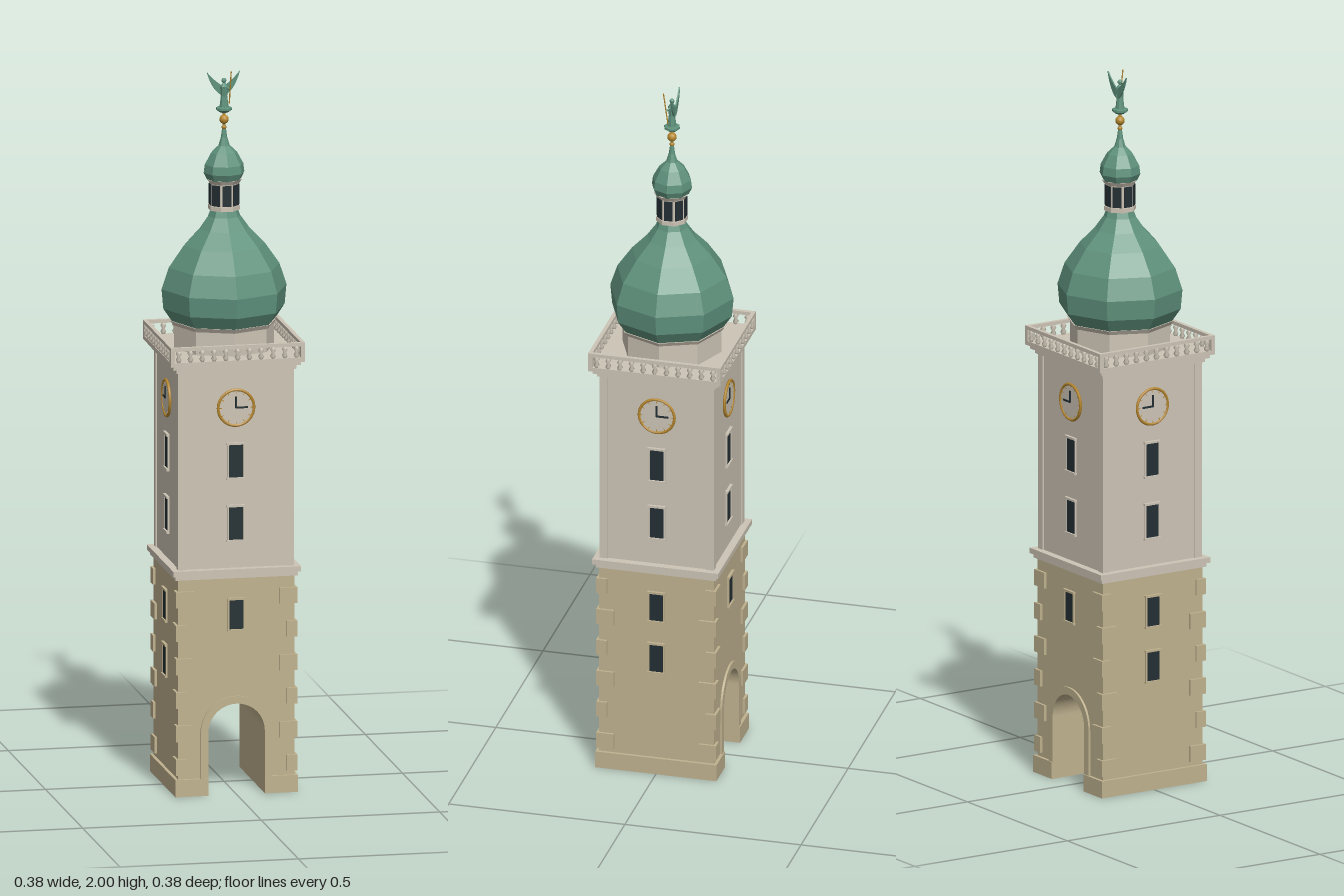
import * as THREE from 'three';

const mat = (name, color, extra = {}) => {
  const m = new THREE.MeshStandardMaterial({ color, ...extra });
  m.name = name;
  return m;
};

export function createModel() {
  const tower = new THREE.Group();
  tower.name = 'clockTower';
  const stone = mat('sandstone', 0xc0b28f);
  const plaster = mat('plaster', 0xcdc4b5);
  const copper = mat('copperGreen', 0x5f927d, { flatShading: true });
  const dark = mat('darkGlass', 0x232e33);
  const gold = mat('gold', 0xb8892f);

  const add = (name, geo, material, x = 0, y = 0, z = 0, parent = tower) => {
    const m = new THREE.Mesh(geo, material);
    m.name = name;
    m.position.set(x, y, z);
    parent.add(m);
    return m;
  };
  // box given by its size and its bottom height
  const box = (name, w, h, d, material, x, y, z, parent) =>
    add(name, new THREE.BoxGeometry(w, h, d), material, x, y + h / 2, z, parent);
  const lathe = (pts, n) => new THREE.LatheGeometry(pts.map(p => new THREE.Vector2(...p)), n);
  const group = (name, turn = 0) => {
    const g = new THREE.Group();
    g.name = name;
    g.rotation.y = turn;
    tower.add(g);
    return g;
  };
  const extrude = (shape, depth) =>
    new THREE.ExtrudeGeometry(shape, { depth, bevelEnabled: false, curveSegments: 20 });

  // lower stage with a vaulted passage from front to back
  const B = 0.163, A = 0.079, S = 0.176;
  const body = new THREE.Shape();
  body.moveTo(-B, 0).lineTo(-A, 0).lineTo(-A, S);
  body.absarc(0, S, A, Math.PI, 0, true);
  body.lineTo(A, 0).lineTo(B, 0).lineTo(B, 0.615).lineTo(-B, 0.615);
  add('lowerStage', extrude(body, 2 * B), stone, 0, 0, -B);
  for (const s of [-1, 1]) box('plinth', 0.172 - A, 0.048, 0.344, stone, s * (A + 0.172) / 2, 0, 0);

  // arch surrounds
  const R = A + 0.021;
  const arch = new THREE.Shape();
  arch.moveTo(-R, 0.048).lineTo(-R, S);
  arch.absarc(0, S, R, Math.PI, 0, true);
  arch.lineTo(R, 0.048).lineTo(A, 0.048).lineTo(A, S);
  arch.absarc(0, S, A, 0, Math.PI, false);
  arch.lineTo(-A, 0.048);
  for (const z of [B, -B - 0.006]) add('archSurround', extrude(arch, 0.006), stone, 0, 0, z);

  // corner quoins, long side alternating between the faces
  for (const sx of [-1, 1]) for (const sz of [-1, 1]) for (let i = 0; i < 6; i++) {
    const w = i % 2 ? 0.05 : 0.03, d = i % 2 ? 0.03 : 0.05, o = 0.17;
    box('quoin', w, 0.045, d, stone, sx * (o - w / 2), 0.06 + i * 0.094, sz * (o - d / 2));
  }

  // string course, upper stage and corner strips
  box('stringCourseLower', 0.342, 0.012, 0.342, plaster, 0, 0.608, 0);
  box('stringCourse', 0.358, 0.015, 0.358, plaster, 0, 0.62, 0);
  box('upperStage', 0.316, 0.56, 0.316, plaster, 0, 0.633, 0);
  for (const x of [-1, 1]) for (const z of [-1, 1])
    box('cornerStrip', 0.022, 0.56, 0.022, plaster, x * 0.151, 0.633, z * 0.151);
  box('corniceLower', 0.336, 0.014, 0.336, plaster, 0, 1.188, 0);
  box('cornice', 0.356, 0.012, 0.356, plaster, 0, 1.2, 0);
  box('galleryFloor', 0.376, 0.012, 0.376, plaster, 0, 1.211, 0);

  // windows, clock and balustrade on each of the four sides
  const balusterGeo = lathe([[0.004, 0], [0.0085, 0.008], [0.004, 0.017], [0.0085, 0.025], [0.004, 0.033]], 6);
  for (let k = 0; k < 4; k++) {
    const side = group('side' + k, k * Math.PI / 2);
    const windowAt = (y, z, h, m) => {
      box('windowPane', 0.04, h, 0.006, dark, 0, y - h / 2, z, side);
      for (const s of [-1, 1]) box('windowJamb', 0.004, h, 0.01, m, s * 0.022, y - h / 2, z, side);
      box('windowLintel', 0.052, 0.006, 0.016, m, 0, y + h / 2, z, side);
      box('windowSill', 0.052, 0.006, 0.016, m, 0, y - h / 2 - 0.006, z, side);
    };
    windowAt(0.935, 0.158, 0.092, plaster);
    windowAt(0.76, 0.158, 0.092, plaster);
    windowAt(0.505, B, 0.082, stone);
    if (k % 2) windowAt(0.35, B, 0.082, stone);

    // clock; the hands on the far sides point the other way
    const flip = k < 2 ? 1 : -1;
    const face = add('clockFace', new THREE.CylinderGeometry(0.05, 0.05, 0.006, 32), plaster, 0, 1.085, 0.16, side);
    face.rotation.x = Math.PI / 2;
    add('clockRing', new THREE.TorusGeometry(0.05, 0.0042, 6, 36), gold, 0, 1.085, 0.162, side);
    box('minuteHand', 0.005, 0.033, 0.003, dark, 0, 1.084, 0.164, side);
    box('hourHand', 0.034, 0.005, 0.003, dark, flip * 0.016, 1.083, 0.164, side);
    for (let i = 0; i < 12; i++) {
      const a = i * Math.PI / 6;
      const t = add('hourMark', new THREE.BoxGeometry(0.002, 0.006, 0.002), gold,
        Math.sin(a) * 0.043, 1.085 + Math.cos(a) * 0.043, 0.163, side);
      t.rotation.z = -a;
    }

    // balustrade
    box('handrail', 0.376, 0.01, 0.011, plaster, 0, 1.255, 0.1825, side);
    for (let i = 0; i < 11; i++)
      add('baluster', balusterGeo, plaster, -0.165 + i * 0.033, 1.222, 0.1825, side);
    box('cornerPost', 0.012, 0.033, 0.012, plaster, 0.182, 1.222, 0.182, side);
  }

  // octagonal drum and onion dome
  const flatPlaster = plaster;
  const prism = (name, r0, r1, h, y, m = flatPlaster, turn = 0) => {
    const g = new THREE.CylinderGeometry(r1, r0, h, 8).toNonIndexed();
    g.computeVertexNormals();
    const p = add(name, g, m, 0, y + h / 2, 0);
    p.rotation.y = turn;
  };
  prism('drum', 0.14, 0.14, 0.075, 1.22);
  prism('drumCornice', 0.142, 0.15, 0.012, 1.288);
  add('onionDome', lathe([[0, 1.298], [0.145, 1.298], [0.17, 1.335], [0.175, 1.39], [0.155, 1.45],
    [0.113, 1.51], [0.07, 1.555], [0.045, 1.59], [0.036, 1.615], [0, 1.615]], 8), copper);

  // lantern with eight openings
  prism('lanternBase', 0.044, 0.044, 0.012, 1.608, flatPlaster, Math.PI / 8);
  prism('lantern', 0.041, 0.041, 0.075, 1.615, flatPlaster, Math.PI / 8);
  for (let i = 0; i < 8; i++)
    box('lanternOpening', 0.024, 0.058, 0.006, dark, 0, 1.622, 0.0375, group('lanternSide' + i, i * Math.PI / 4));
  prism('lanternCornice', 0.042, 0.05, 0.012, 1.682, flatPlaster, Math.PI / 8);
  add('lanternDome', lathe([[0, 1.693], [0.048, 1.693], [0.057, 1.712], [0.054, 1.735], [0.036, 1.768],
    [0.016, 1.787], [0.009, 1.81], [0.004, 1.845], [0, 1.845]], 8), copper);

  // gilded finial
  add('finialRod', new THREE.CylinderGeometry(0.004, 0.004, 0.06, 8), gold, 0, 1.855, 0);
  add('finialBall', new THREE.SphereGeometry(0.013, 12, 8), gold, 0, 1.86, 0);
  add('finialKnob', new THREE.SphereGeometry(0.007, 10, 6), gold, 0, 1.838, 0);

  // winged statue
  add('statueBase', lathe([[0, 1.88], [0.012, 1.88], [0.022, 1.887], [0.022, 1.893], [0, 1.897]], 10), copper);
  add('statueBody', lathe([[0, 1.893], [0.013, 1.893], [0.009, 1.925], [0.011, 1.952], [0.004, 1.962], [0, 1.963]], 8), copper);
  add('statueHead', new THREE.SphereGeometry(0.007, 8, 6), copper, 0, 1.969, 0);
  for (const s of [-1, 1]) {
    const wing = new THREE.Shape();
    wing.moveTo(s * 0.004, 1.925).quadraticCurveTo(s * 0.032, 1.94, s * 0.046, 1.992);
    wing.quadraticCurveTo(s * 0.027, 1.968, s * 0.004, 1.953);
    add('wing', extrude(wing, 0.004), copper, 0, 0, -0.011);
  }
  const rod = new THREE.LineCurve3(new THREE.Vector3(0.013, 1.905, 0.008), new THREE.Vector3(0.016, 1.998, 0.02));
  add('staff', new THREE.TubeGeometry(rod, 1, 0.0018, 5), gold);
  const arm = new THREE.LineCurve3(new THREE.Vector3(0.006, 1.95, 0), new THREE.Vector3(0.015, 1.945, 0.013));
  add('arm', new THREE.TubeGeometry(arm, 1, 0.003, 5), copper);
  return tower;
}
